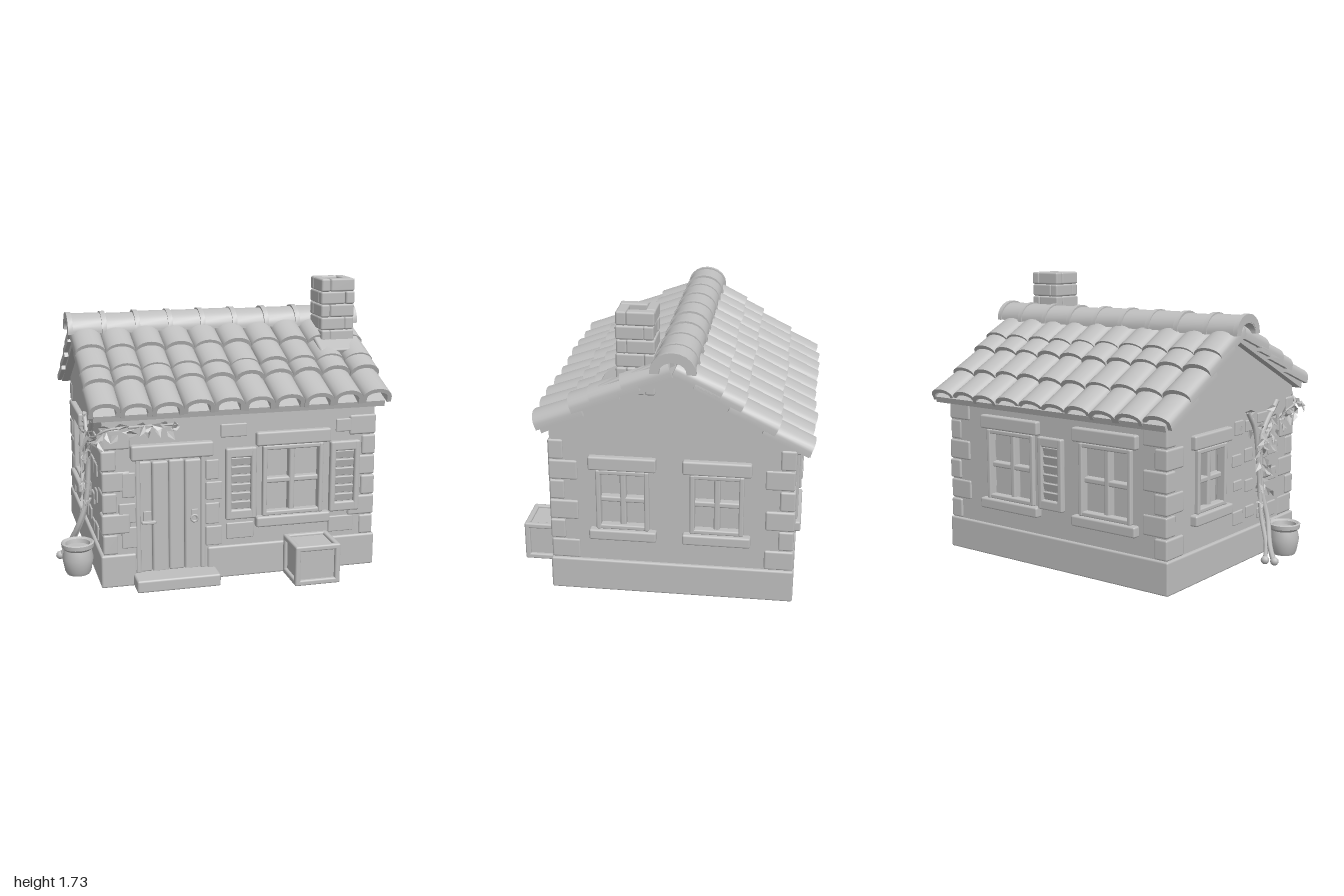
import * as THREE from 'three';
import { RoundedBoxGeometry } from 'three/addons/geometries/RoundedBoxGeometry.js';
import { toCreasedNormals } from 'three/addons/utils/BufferGeometryUtils.js';

const clay = new THREE.MeshStandardMaterial({ color: 0xbfbfbf });
clay.name = 'grey clay';
const leafClay = new THREE.MeshStandardMaterial({ color: 0xbfbfbf, side: THREE.DoubleSide });
leafClay.name = 'grey leaf';

let seed = 7;
const rand = (a, b) => {
  seed = (seed * 16807) % 2147483647;
  return a + (b - a) * seed / 2147483647;
};

function add(parent, name, geo, x = 0, y = 0, z = 0, mat = clay) {
  const m = new THREE.Mesh(geo, mat);
  m.name = name;
  m.position.set(x, y, z);
  parent.add(m);
  return m;
}
function addGroup(parent, name, x = 0, y = 0, z = 0, ry = 0) {
  const g = new THREE.Group();
  g.name = name;
  g.position.set(x, y, z);
  g.rotation.y = ry;
  parent.add(g);
  return g;
}
// Softly rounded block, given by centre and size
const block = (parent, name, x, y, z, w, h, d) =>
  add(parent, name, new RoundedBoxGeometry(w, h, d, 1, Math.min(0.012, Math.min(w, h, d) * 0.3)), x, y, z);

const toShape = (pts) => new THREE.Shape(pts.map(([a, b]) => new THREE.Vector2(a, b)));
function wallShape(pts, holes) {
  const s = toShape(pts);
  for (const [a0, a1, b0, b1] of holes) {
    s.holes.push(new THREE.Path([[a0, b0], [a0, b1], [a1, b1], [a1, b0]].map((p) => new THREE.Vector2(...p))));
  }
  return s;
}
const extrude = (shape, depth) => new THREE.ExtrudeGeometry(shape, { depth, bevelEnabled: false });
// Extrude a (z, y) outline along x, from x1 - depth to x1
const extrudeX = (shape, depth, x1) => extrude(shape, depth).rotateY(-Math.PI / 2).translate(x1, 0, 0);

// Hollow barrel tile outline: straight sides, then an arched top
function archGeometry(w, side, rise, t, length) {
  const pts = [], n = 10;
  const arc = (rx, ry, i) => [rx * Math.cos(i * Math.PI / n), side + ry * Math.sin(i * Math.PI / n)];
  pts.push([w / 2, 0]);
  for (let i = 0; i <= n; i++) pts.push(arc(w / 2, rise, i));
  pts.push([-w / 2, 0], [-w / 2 + t, 0]);
  for (let i = n; i >= 0; i--) pts.push(arc(w / 2 - t, rise - t, i));
  pts.push([w / 2 - t, 0]);
  return toCreasedNormals(extrude(toShape(pts), length), 0.7);
}

// Window with lintel and sill, facing +z, centred on its opening
function addWindow(parent, name, x, y, z, ry, w, h) {
  const g = addGroup(parent, name, x, y, z, ry), b = 0.028;
  add(g, 'pane', new THREE.BoxGeometry(w + 0.02, h + 0.02, 0.02), 0, 0, -0.07);
  for (const s of [-1, 1]) {
    block(g, 'frameSide', s * (w - b) / 2, 0, -0.005, b, h, 0.06);
    block(g, 'frameRail', 0, s * (h - b) / 2, -0.007, w, b, 0.055);
  }
  block(g, 'mullion', 0, 0, -0.03, 0.036, h, 0.06);
  block(g, 'crossBar', 0, -0.005, -0.03, w, 0.034, 0.055);
  block(g, 'lintel', 0, h / 2 + 0.045, -0.005, w + 0.085, 0.085, 0.08);
  block(g, 'sill', 0, -h / 2 - 0.03, 0, w + 0.085, 0.065, 0.09);
}

function addShutter(parent, x, y, z, ry, w = 0.19, h = 0.44) {
  const g = addGroup(parent, 'shutter', x, y, z, ry), b = 0.036;
  add(g, 'shutterBack', new THREE.BoxGeometry(w - 0.02, h - 0.02, 0.012), 0, 0, 0.004);
  for (const s of [-1, 1]) {
    block(g, 'shutterStile', s * (w - b) / 2, 0, 0.018, b, h, 0.04);
    block(g, 'shutterRail', 0, s * (h - 0.06) / 2, 0.018, w, 0.06, 0.037);
  }
  for (let i = 0; i < 6; i++) {
    block(g, 'slat', 0, -0.135 + i * 0.054, 0.014, w - b * 2, 0.05, 0.014).rotation.x = 0.25;
  }
}

function addWalls(root) {
  const g = addGroup(root, 'walls');
  const gable = [[-0.77, 0.02], [0.63, 0.02], [0.63, 1.03], [-0.1, 1.38], [-0.77, 1.0]];
  const sideA = [0.055, 0.365, 0.41, 0.785], sideB = [-0.49, -0.18, 0.41, 0.785];
  add(g, 'rightWall', extrudeX(wallShape(gable, [sideA, sideB]), 0.08, 0.88));
  add(g, 'leftWall', extrudeX(wallShape(gable, [sideB]), 0.08, -0.7));
  const rect = (top) => [[-0.77, 0.02], [0.87, 0.02], [0.87, top], [-0.77, top]];
  add(g, 'frontWall', extrude(wallShape(rect(1.03), [[-0.58, -0.18, 0.07, 0.77], [0.175, 0.555, 0.37, 0.805]]), 0.08), 0, 0, 0.55);
  add(g, 'backWall', extrude(wallShape(rect(1.0), [[0.18, 0.56, 0.37, 0.805], [-0.55, -0.17, 0.37, 0.805]]), 0.08), 0, 0, -0.77);
  // Plinth, left open in front of the door
  block(g, 'plinth', 0.05, 0.1, -0.1075, 1.7, 0.2, 1.355);
  block(g, 'plinthFront', -0.695, 0.1, 0.59, 0.21, 0.2, 0.11);
  block(g, 'plinthFront', 0.37, 0.1, 0.59, 1.06, 0.2, 0.11);
  // Alternating corner stones
  for (const [x, z] of [[-0.78, 0.63], [0.88, 0.63], [-0.78, -0.77], [0.88, -0.77]]) {
    const sx = Math.sign(x), sz = Math.sign(z);
    for (let i = 0; i < 6; i++) {
      const a = i % 2 ? 0.17 : 0.09, b = i % 2 ? 0.09 : 0.17, e = rand(0.006, 0.014);
      block(g, 'cornerStone', x + sx * (e - a / 2), 0.262 + i * 0.127, z + sz * (e - b / 2), a, 0.122, b);
    }
  }
  // Shallow wall stones: face position and span [x, y, width, height]
  for (const [x, y, w, h] of [[-0.12, 0.27, 0.1, 0.12], [-0.13, 0.41, 0.085, 0.13], [-0.12, 0.55, 0.1, 0.11],
    [-0.13, 0.68, 0.08, 0.12], [-0.63, 0.3, 0.09, 0.13], [-0.64, 0.45, 0.1, 0.12], [-0.63, 0.62, 0.08, 0.15],
    [0.04, 0.29, 0.17, 0.1], [0.68, 0.28, 0.16, 0.1], [0.0, 0.91, 0.16, 0.08], [0.7, 0.9, 0.13, 0.08]]) {
    block(g, 'wallStone', x, y, 0.628, w, h, 0.024);
  }
  for (let i = 0; i < 16; i++) {
    const z = -0.04 + (i % 4) * 0.14 + rand(-0.02, 0.02);
    block(g, 'wallStone', -0.778, 0.28 + Math.floor(i / 4) * 0.19 + rand(-0.03, 0.03), z, 0.024, rand(0.06, 0.1), rand(0.08, 0.13));
  }
}

function addRoof(root) {
  const g = addGroup(root, 'roof');
  add(g, 'roofBoards', extrudeX(toShape([[0.66, 1.01], [0.67, 1.045], [-0.1, 1.41], [-0.86, 0.98],
    [-0.85, 0.945], [-0.1, 1.365]]), 1.76, 0.93));
  // Overlapping tile rows: slope sign, tip depths, height rule, tile tilt
  const slopes = [
    [1, [0.72, 0.5, 0.39, 0.21], (z) => 1.12 + 0.5 * (0.73 - z), 0.36],
    [-1, [-0.88, -0.69, -0.5, -0.38], (z) => 1.03 + 0.64 * (z + 0.88), 0.5],
  ];
  const cols = 10, pitch = 1.82 / cols;
  for (const [s, tips, height, tilt] of slopes) {
    const tile = archGeometry(pitch + 0.002, 0.035, s > 0 ? 0.06 : 0.05, 0.026, 0.29).translate(0, s > 0 ? -0.095 : -0.085, 0);
    if (s > 0) tile.rotateY(Math.PI);
    for (const z of tips) {
      for (let c = 0; c < cols; c++) {
        const t = add(g, 'roofTile', tile, -0.86 + pitch * (c + 0.5), height(z) + rand(-0.004, 0.004), z + rand(-0.008, 0.008));
        t.rotation.x = s * (Math.atan(tilt) + rand(-0.015, 0.015));
      }
    }
  }
  // Ridge caps with a raised band at each joint
  const cap = archGeometry(0.24, 0.01, 0.1, 0.045, 0.21).rotateY(Math.PI / 2);
  const band = archGeometry(0.256, 0.01, 0.112, 0.045, 0.03).rotateY(Math.PI / 2);
  for (let i = 0; i < 9; i++) {
    const x = -0.88 + i * 0.2075;
    add(g, 'ridgeCap', cap, x, 1.415 + rand(-0.004, 0.004), -0.095);
    add(g, 'ridgeBand', band, i ? x : -0.882, 1.413, -0.095);
  }
  add(g, 'ridgeBand', band, 0.96, 1.418, -0.095);
}

function addChimney(root) {
  const g = addGroup(root, 'chimney', 0.78, 0, 0.125);
  add(g, 'chimneyCore', new THREE.BoxGeometry(0.15, 0.46, 0.15), 0, 1.41, 0);
  for (let c = 0; c < 6; c++) {
    const course = addGroup(g, 'chimneyCourse', 0, 1.29 + c * 0.08, 0);
    for (let i = 0; i < 4; i++) {
      const side = addGroup(course, 'chimneySide', 0, 0, 0, i * Math.PI / 2);
      block(side, 'chimneyStone', c % 2 ? 0.03 : -0.03, 0, 0.078 + rand(-0.004, 0.004), 0.16, 0.08, 0.06);
    }
  }
  block(g, 'chimneyFlashing', 0, 1.345, 0.04, 0.29, 0.07, 0.34).rotation.x = 0.43;
}

function addDoor(root) {
  const g = addGroup(root, 'door', -0.38, 0, 0.6);
  [0.085, 0.1, 0.095, 0.11].reduce((x, w, i) => {
    block(g, 'doorPlank', x + w / 2, 0.41 - (i % 2) * 0.004, i % 2 * 0.004, w - 0.002, 0.68, 0.04);
    return x + w;
  }, -0.195);
  for (const s of [-1, 1]) block(g, 'doorJamb', s * 0.195, 0.42, 0.005, 0.03, 0.7, 0.06);
  block(g, 'doorLintel', 0.005, 0.815, 0.03, 0.49, 0.09, 0.09);
  block(g, 'doorStep', 0.02, 0.0375, 0.07, 0.5, 0.075, 0.2);
  block(g, 'latchPlate', -0.14, 0.42, 0.024, 0.05, 0.06, 0.012);
  block(g, 'latchBar', -0.135, 0.385, 0.04, 0.085, 0.018, 0.03);
  block(g, 'handlePlate', 0.145, 0.405, 0.024, 0.04, 0.075, 0.012);
  add(g, 'handleRing', new THREE.TorusGeometry(0.02, 0.007, 8, 16), 0.14, 0.39, 0.04);
}

function addCrate(root) {
  const g = addGroup(root, 'crate', 0.45, 0.1225, 0.765), w = 0.28, h = 0.245, d = 0.25, b = 0.034;
  add(g, 'crateCore', new THREE.BoxGeometry(w - 0.04, h - 0.03, d - 0.04));
  for (const p of [-1, 1]) for (const q of [-1, 1]) {
    block(g, 'crateRail', 0, p * (h - b) / 2, q * (d - b) / 2, w - 0.004, b, b);
    block(g, 'cratePost', p * (w - b) / 2, 0, q * (d - b) / 2, b, h, b);
    block(g, 'crateRail', p * (w - b) / 2, q * (h - b) / 2, 0, b, b, d - 0.004);
  }
}

function addPotAndVine(root) {
  const pot = [[0, 0], [0.07, 0], [0.08, 0.02], [0.095, 0.1], [0.083, 0.155], [0.098, 0.17], [0.1, 0.195],
    [0.09, 0.2], [0.075, 0.19], [0.07, 0.165], [0, 0.165]].map((p) => new THREE.Vector2(...p));
  add(root, 'pot', toCreasedNormals(new THREE.LatheGeometry(pot, 24), 0.7), -0.9, 0, 0.35);
  const g = addGroup(root, 'vine');
  const leaf = new THREE.BufferGeometry();
  leaf.setAttribute('position', new THREE.Float32BufferAttribute(
    [0, 0, 0, 0.022, 0.03, 0.01, 0, 0.075, 0, 0, 0, 0, 0, 0.075, 0, -0.022, 0.03, 0.01], 3));
  leaf.computeVertexNormals();
  // Stem paths with radius and number of leaves
  const stems = [
    [[[-0.98, 0.01, 0.09], [-0.93, 0.1, 0.12], [-0.87, 0.25, 0.19], [-0.82, 0.42, 0.2], [-0.8, 0.75, 0.22], [-0.8, 0.96, 0.4]], 0.017, 26],
    [[[-0.92, 0.01, 0.08], [-0.9, 0.12, 0.12], [-0.84, 0.28, 0.16], [-0.81, 0.5, 0.18], [-0.8, 0.8, 0.14], [-0.8, 0.93, 0.05]], 0.014, 22],
    [[[-0.8, 0.7, 0.22], [-0.81, 0.85, 0.4], [-0.81, 0.92, 0.62], [-0.76, 0.96, 0.655], [-0.55, 0.97, 0.65], [-0.34, 0.97, 0.645]], 0.008, 44],
  ];
  stems.forEach(([pts, r, leaves], k) => {
    const curve = new THREE.CatmullRomCurve3(pts.map((p) => new THREE.Vector3(...p)));
    add(g, 'vineStem', new THREE.TubeGeometry(curve, 28, r, 7));
    if (k < 2) add(g, 'vineRoot', new THREE.SphereGeometry(0.026, 10, 8), pts[0][0], 0.024, pts[0][2]);
    for (let i = 0; i < leaves; i++) {
      const p = curve.getPointAt(k < 2 ? 0.4 + 0.6 * i / leaves : i / leaves);
      const onFront = p.z > 0.63, spread = p.y > 0.75 ? 0.09 : 0.035;
      const m = add(g, 'vineLeaf', leaf, onFront ? p.x : p.x - rand(0, 0.035), p.y + rand(-0.04, 0.03),
        onFront ? p.z + rand(0, 0.02) : p.z + rand(-spread, spread), leafClay);
      m.rotation.set(rand(-0.5, 0.5), (onFront ? 0 : -Math.PI / 2) + rand(-0.7, 0.7), rand(1.2, 5), 'YXZ');
    }
  });
}

export function createModel() {
  const root = new THREE.Group();
  root.name = 'cottage';
  addWalls(root);
  addRoof(root);
  addChimney(root);
  addDoor(root);
  const R = Math.PI / 2, y = 0.5875;
  addWindow(root, 'frontWindow', 0.365, y, 0.63, 0, 0.38, 0.435);
  addWindow(root, 'backWindow', 0.37, y, -0.77, Math.PI, 0.38, 0.435);
  addWindow(root, 'backWindow', -0.36, y, -0.77, Math.PI, 0.38, 0.435);
  addWindow(root, 'rightWindow', 0.88, 0.5975, 0.21, R, 0.31, 0.375);
  addWindow(root, 'rightWindow', 0.88, 0.5975, -0.335, R, 0.31, 0.375);
  addWindow(root, 'leftWindow', -0.78, 0.5975, -0.335, -R, 0.31, 0.375);
  addShutter(root, 0.04, y, 0.63, 0);
  addShutter(root, 0.69, y, 0.63, 0);
  addShutter(root, 0.04, y, -0.77, Math.PI);
  addCrate(root);
  addPotAndVine(root);
  return root;
}
